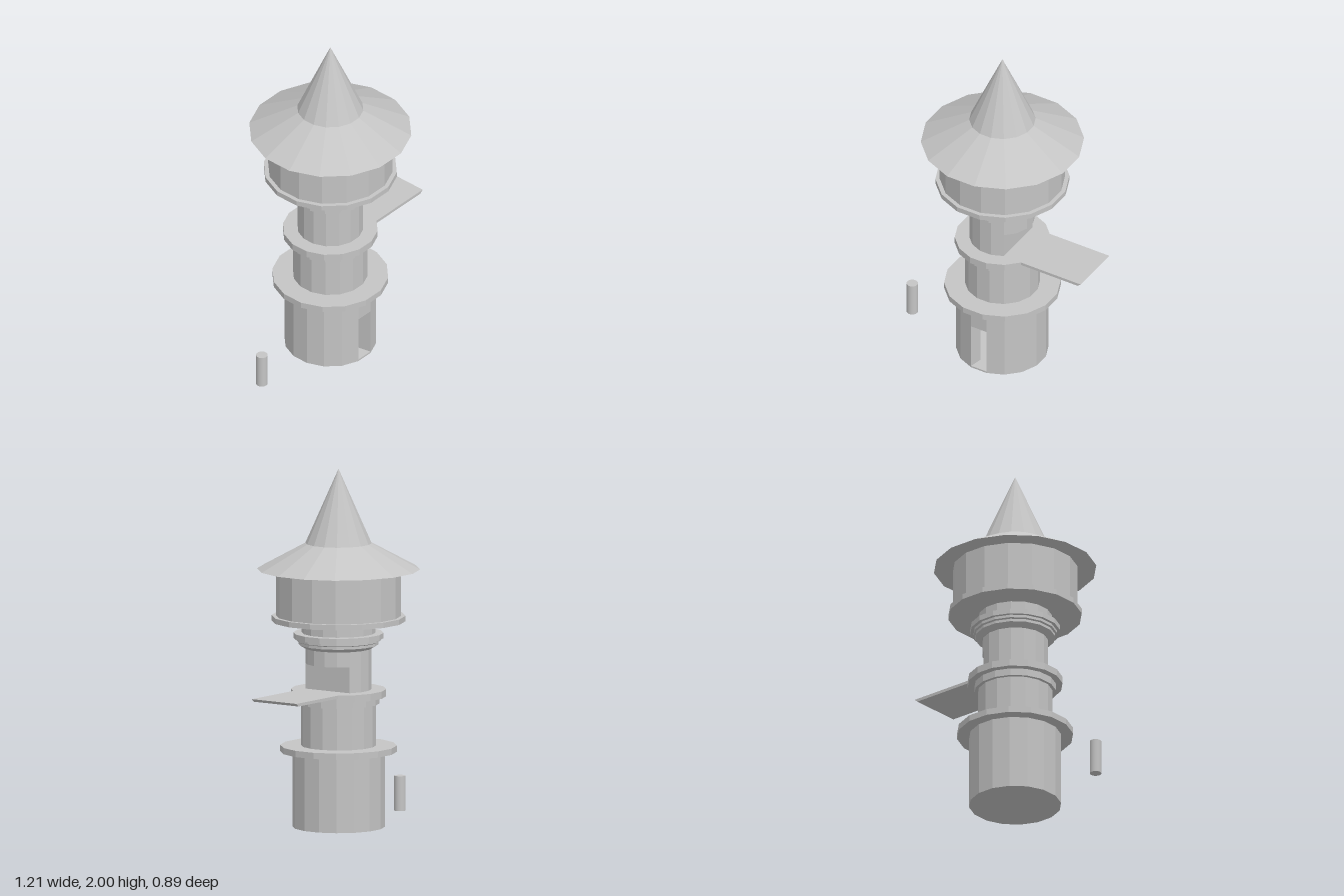
import * as THREE from 'three';

const SIDES = 16;
const HALF = Math.PI / SIDES; // half a facet, so flat faces point along the axes

export function createModel() {
  const model = new THREE.Group();
  const stone = new THREE.MeshStandardMaterial({ color: 0xc4c4c4 });
  stone.name = 'stone grey';

  const tower = new THREE.Group();
  tower.name = 'tower';
  tower.position.set(0.005, 0, -0.003);
  model.add(tower);

  function add(name, geometry, parent = tower) {
    const mesh = new THREE.Mesh(geometry, stone);
    mesh.name = name;
    parent.add(mesh);
    return mesh;
  }

  // Faceted turned part; profile is [radius, y] going up the outside
  function turned(name, profile, start = HALF, facets = SIDES) {
    const points = profile.map(([r, y]) => new THREE.Vector2(r, y));
    const geometry = new THREE.LatheGeometry(points, facets, start, facets * 2 * HALF).toNonIndexed();
    geometry.computeVertexNormals();
    return add(name, geometry);
  }

  // Solid drum with closed ends
  const drum = (name, r, y0, y1, r1 = r) =>
    turned(name, [[0, y0], [r, y0], [r1, y1], [0, y1]]);

  // Hollow base with one facet left open as the front doorway
  const baseR = 0.256, innerR = 0.18, floorY = 0.01, doorTop = 0.285;
  drum('baseFloor', baseR, 0, floorY);
  turned('baseWall', [
    [innerR, floorY], [baseR, floorY], [baseR, doorTop], [innerR, doorTop], [innerR, floorY],
  ], HALF, SIDES - 1);
  for (const side of [-1, 1]) {
    const phi = side * HALF;
    const r = (baseR + innerR) / 2;
    const jamb = add('doorJamb', new THREE.PlaneGeometry(baseR - innerR, doorTop - floorY));
    jamb.position.set(Math.sin(phi) * r, (doorTop + floorY) / 2, Math.cos(phi) * r);
    jamb.rotation.y = phi - side * Math.PI / 2;
  }
  drum('baseUpperWall', baseR, doorTop, 0.42);

  // Lower ledge, middle storey and balcony
  drum('lowerLedge', 0.323, 0.42, 0.455);
  drum('middleStorey', 0.208, 0.455, 0.69);
  drum('balconySupport', 0.227, 0.69, 0.73);
  drum('balcony', 0.264, 0.73, 0.77);

  // Upper shaft, five facets cut away to a flat doorway on the left
  const shaftR = 0.183, archTop = 0.915;
  turned('shaftLower', [[shaftR, 0.77], [shaftR, archTop]], 13 * HALF, 11);
  const doorway = add('sideDoorway',
    new THREE.PlaneGeometry(2 * shaftR * Math.sin(5 * HALF), archTop - 0.77));
  doorway.position.set(shaftR * Math.cos(5 * HALF), (0.77 + archTop) / 2, 0);
  doorway.rotation.y = Math.PI / 2;
  drum('shaftUpper', shaftR, archTop, 1.0);

  // Landing plank with a slightly bevelled outer end
  const plankShape = new THREE.Shape([
    [0.1, 0.753], [0.58, 0.753], [0.6, 0.77], [0.1, 0.77],
  ].map(([x, y]) => new THREE.Vector2(x, y)));
  const plank = add('landingPlank',
    new THREE.ExtrudeGeometry(plankShape, { depth: 0.306, bevelEnabled: false }));
  plank.position.z = -0.153;

  // Stepped collar and neck
  turned('collar', [
    [0, 1.0], [0.188, 1.0], [0.222, 1.02], [0.222, 1.035], [0.232, 1.04], [0.232, 1.055],
    [0.25, 1.055], [0.25, 1.085], [0, 1.085],
  ]);
  drum('neck', 0.204, 1.085, 1.15);

  // Top storey
  drum('topLedge', 0.371, 1.15, 1.18);
  drum('topStorey', 0.347, 1.18, 1.44);

  // Broad eaves and steep spire
  drum('eaves', 0.452, 1.44, 1.585, 0.184);
  turned('spire', [[0.184, 1.585], [0, 2]]);

  // Separate round post beside the tower
  const post = add('post', new THREE.CylinderGeometry(0.032, 0.032, 0.195, 20), model);
  post.position.set(-0.575, 0.118, 0.003);

  return model;
}
